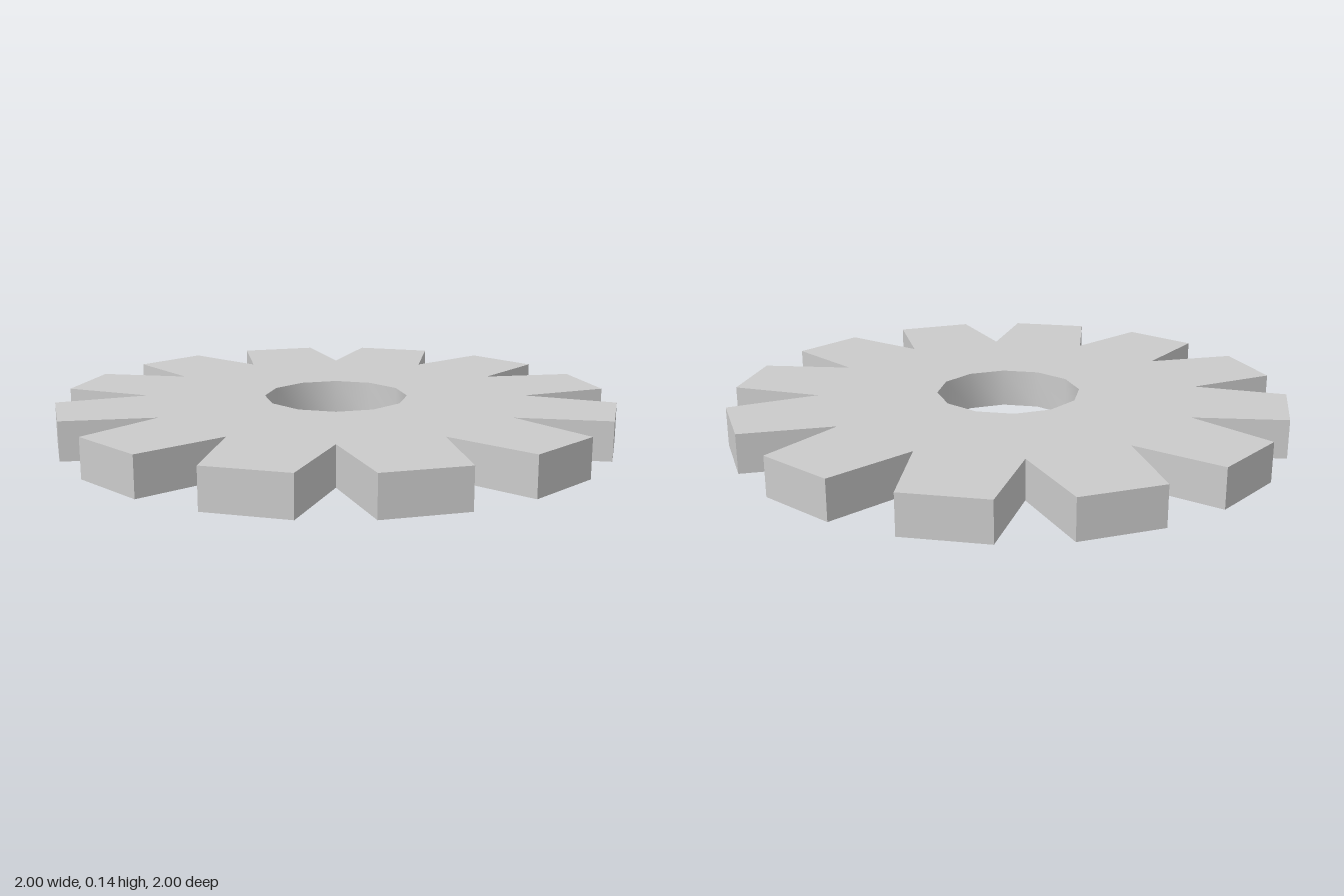
import * as THREE from 'three';
import { toCreasedNormals } from 'three/addons/utils/BufferGeometryUtils.js';

const TEETH = 12;
const THICKNESS = 0.139;
const TIP_RADIUS = 1.0066;
const NOTCH_RADIUS = 0.69;
const HOLE_RADIUS = 0.26;
const TIP_OFFSET = THREE.MathUtils.degToRad(6.7); // notch centre to tooth corner

const polar = (r, a) => new THREE.Vector2(r * Math.cos(a), r * Math.sin(a));

export function createModel() {
  const group = new THREE.Group();
  group.name = 'gear';

  // Outline: a V notch followed by the two corners of a tooth, repeated
  const step = (Math.PI * 2) / TEETH;
  const outline = [];
  const bore = [];
  for (let i = 0; i < TEETH; i++) {
    const a = i * step;
    outline.push(
      polar(NOTCH_RADIUS, a),
      polar(TIP_RADIUS, a + TIP_OFFSET),
      polar(TIP_RADIUS, a + step - TIP_OFFSET)
    );
    bore.push(polar(HOLE_RADIUS, a));
  }

  // Flat disc with a twelve-sided centre bore
  const shape = new THREE.Shape(outline);
  shape.holes.push(new THREE.Path(bore));
  const extruded = new THREE.ExtrudeGeometry(shape, { depth: THICKNESS, bevelEnabled: false });
  extruded.rotateX(-Math.PI / 2);

  // Sharp teeth, smoothly shaded bore wall
  const geometry = toCreasedNormals(extruded, THREE.MathUtils.degToRad(35));
  const wheel = new THREE.Mesh(geometry, new THREE.MeshStandardMaterial({ color: 0xcccccc }));
  wheel.name = 'toothedWheel';
  group.add(wheel);

  return group;
}
